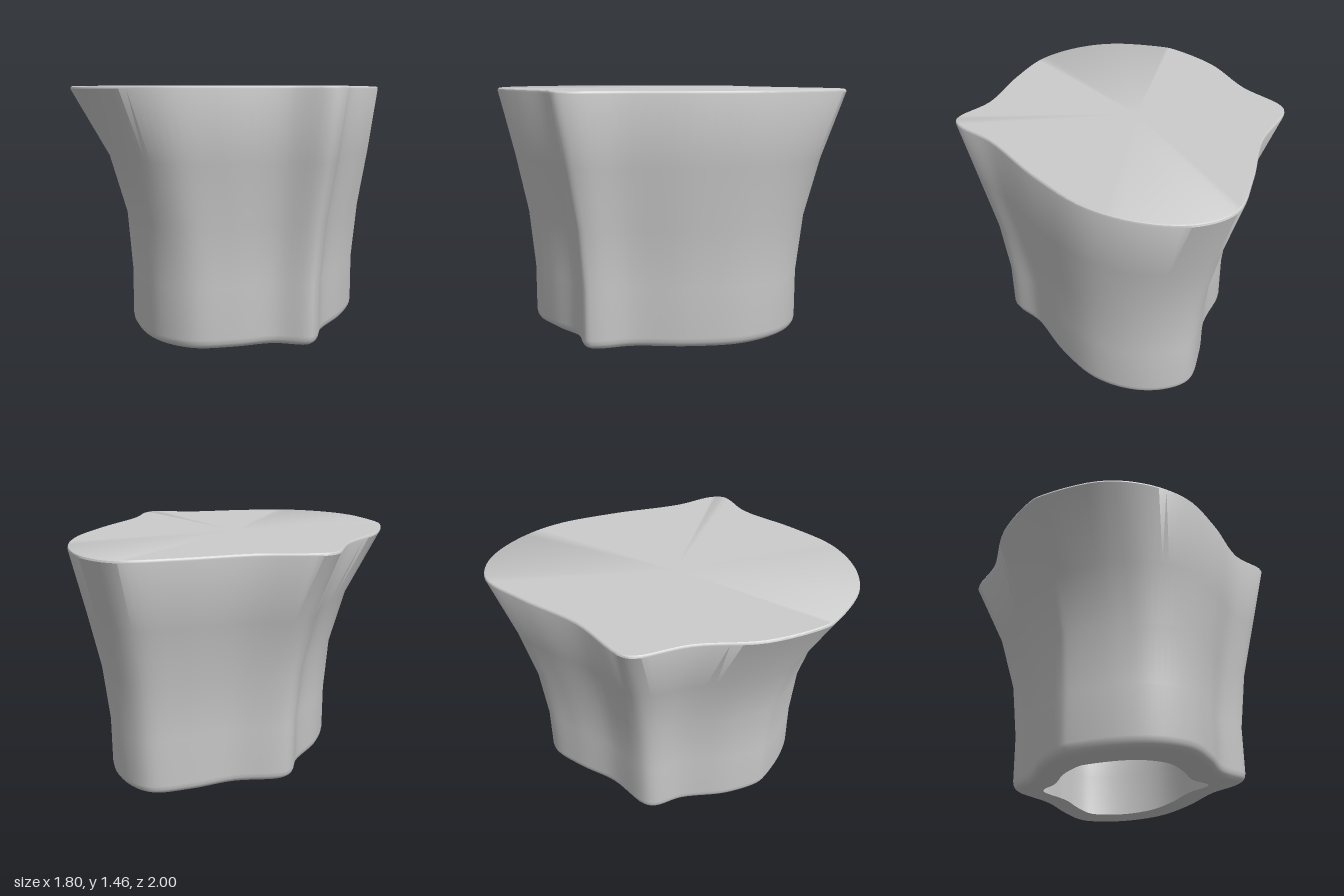
import * as THREE from 'three';
import { toCreasedNormals } from 'three/addons/utils/BufferGeometryUtils.js';

const HEIGHT = 1.46, LIP = 1.445, SEGMENTS = 126;

// matching outline points: [top x, top z, bottom x, bottom z]
const OUTLINE = [
  [0.45, -1.0, 0.40, -0.74], [0.65, -0.92, 0.55, -0.67], [0.81, -0.71, 0.68, -0.51],
  [0.895, -0.40, 0.75, -0.27], [0.855, 0.0, 0.71, 0.04], [0.755, 0.45, 0.61, 0.36],
  [0.75, 0.71, 0.60, 0.56], [0.70, 0.79, 0.57, 0.62], [0.45, 0.795, 0.37, 0.63],
  [0.10, 0.925, 0.15, 0.74], [-0.22, 1.0, -0.07, 0.81], [-0.50, 0.94, -0.27, 0.75],
  [-0.71, 0.79, -0.41, 0.62], [-0.885, 0.48, -0.55, 0.38], [-0.90, 0.40, -0.57, 0.31],
  [-0.86, 0.06, -0.54, 0.08], [-0.70, -0.30, -0.43, -0.20], [-0.64, -0.60, -0.41, -0.38],
  [-0.57, -0.66, -0.36, -0.44], [-0.22, -0.73, -0.07, -0.52], [0.15, -0.90, 0.18, -0.66],
];

function smoothLoop(ix, iz) {
  const pts = OUTLINE.map((p) => new THREE.Vector3(p[ix], 0, p[iz]));
  const curve = new THREE.CatmullRomCurve3(pts, true, 'centripetal');
  return Array.from({ length: SEGMENTS }, (_, i) => curve.getPoint(i / SEGMENTS));
}

// how far a point has flared at height y; strongly flared sides open later
function flare(y, d) {
  const mid = THREE.MathUtils.clamp(0.27 - 0.95 * (d - 0.14), 0.08, 0.33);
  const high = THREE.MathUtils.clamp(0.7 - 1.65 * (d - 0.14), 0.37, 0.72);
  const keys = [[0, 0], [0.35, 0], [0.7, mid], [1.05, high], [LIP, 1]];
  if (y >= LIP) return 1;
  let k = 1;
  while (y > keys[k][0]) k++;
  const [y0, t0] = keys[k - 1], [y1, t1] = keys[k];
  return t0 + (t1 - t0) * (y - y0) / (y1 - y0);
}

// thin shell: open floor ring, rounded foot, flared wall, closed top
function createShell() {
  const top = smoothLoop(0, 1), bottom = smoothLoop(2, 3);

  // [height, scale] from the edge of the floor opening, up the outside and over the top
  const rings = [
    [0, 0.71], [0, 0.92], [0.004, 0.95], [0.018, 0.98], [0.035, 0.994], [0.06, 1],
    [0.35, 1], [0.7, 1], [1.05, 1], [LIP, 1], [1.455, 0.997], [HEIGHT, 0.99], [HEIGHT, 0],
  ];
  const pos = [], index = [];
  for (const [y, s] of rings) {
    const lean = 1 - y / HEIGHT;
    const cx = 0.08 * lean, cz = 0.04 * lean;
    for (let j = 0; j < SEGMENTS; j++) {
      const p = bottom[j].clone().lerp(top[j], flare(y, bottom[j].distanceTo(top[j])));
      pos.push(cx + (p.x - cx) * s, y, cz + (p.z - cz) * s);
    }
  }
  for (let i = 0; i < rings.length - 1; i++) {
    for (let j = 0; j < SEGMENTS; j++) {
      const k = (j + 1) % SEGMENTS;
      const a = i * SEGMENTS + j, b = i * SEGMENTS + k;
      const c = a + SEGMENTS, d = b + SEGMENTS;
      index.push(a, c, b);
      if (rings[i + 1][1] > 0) index.push(b, c, d);
    }
  }
  const geo = new THREE.BufferGeometry();
  geo.setAttribute('position', new THREE.Float32BufferAttribute(pos, 3));
  geo.setIndex(index);
  return toCreasedNormals(geo, Math.PI / 5);
}

export function createModel() {
  const group = new THREE.Group();
  group.name = 'flaredHollowBlock';
  const material = new THREE.MeshStandardMaterial({ color: 0xcccccc, side: THREE.DoubleSide });
  const shell = new THREE.Mesh(createShell(), material);
  shell.name = 'shell';
  group.add(shell);
  return group;
}
